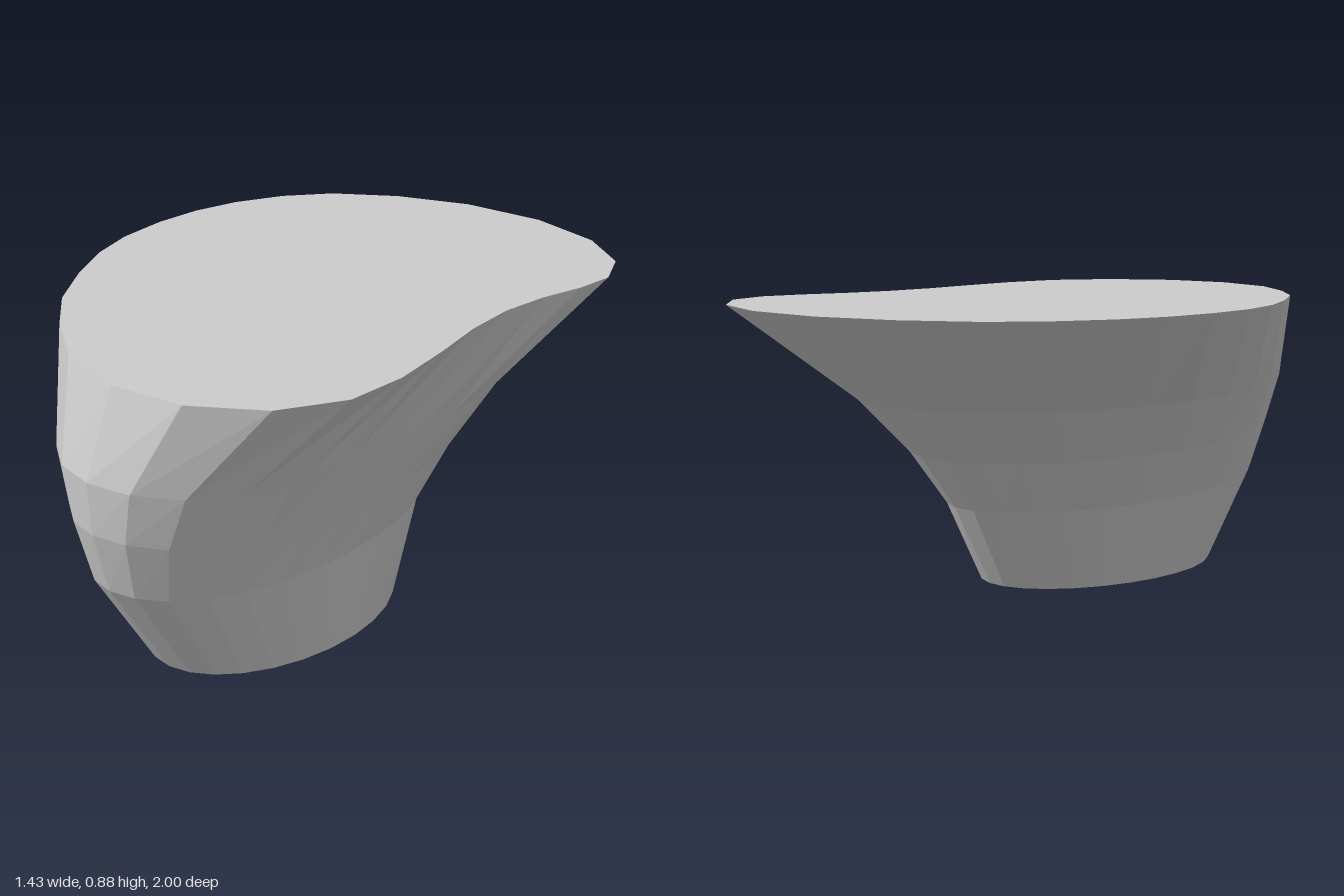
import * as THREE from 'three';

const HEIGHT = 0.882;

// Kidney-shaped rim as [x, z], from the front round by +x
const RIM = [
  [0.19, 0.93], [0.42, 0.915], [0.61, 0.8], [0.71, 0.62], [0.715, 0.42], [0.68, 0.2], [0.64, 0],
  [0.625, -0.18], [0.64, -0.34], [0.675, -0.49], [0.685, -0.62], [0.62, -0.77], [0.45, -0.91],
  [0.2, -0.995], [-0.08, -1], [-0.32, -0.93], [-0.51, -0.815], [-0.62, -0.68], [-0.69, -0.52],
  [-0.72, -0.36], [-0.72, -0.19], [-0.69, 0], [-0.63, 0.17], [-0.53, 0.35], [-0.4, 0.54],
  [-0.24, 0.7], [-0.05, 0.845],
];
const N = RIM.length;

// Elliptical foot with one point under each rim point
const FOOT = RIM.map((_, i) => {
  const a = (i / N) * Math.PI * 2;
  return [0.19 + 0.28 * Math.sin(a), 0.31 + 0.44 * Math.cos(a)];
});

// Cross-sections between foot and rim: blend, extents, height at back and front
const SECTIONS = [
  { blend: 0.08, x: [-0.165, 0.457], z: [-0.29, 0.94], y: [0.26, 0.3] },
  { blend: 0.17, x: [-0.26, 0.5], z: [-0.42, 0.99], y: [0.425, 0.48] },
  { blend: 0.28, x: [-0.39, 0.555], z: [-0.6, 1], y: [0.595, 0.63] },
];

// Stretch a list of values to run from lo to hi
function fit(values, [lo, hi]) {
  const min = Math.min(...values), max = Math.max(...values);
  return values.map((v) => lo + ((v - min) / (max - min)) * (hi - lo));
}

// Nearly level ring that lifts towards the front
function sectionRing({ blend, x, z, y }) {
  const mix = (axis) => RIM.map((p, i) => THREE.MathUtils.lerp(FOOT[i][axis], p[axis], blend));
  const xs = fit(mix(0), x), zs = fit(mix(1), z);
  const lift = fit(zs, [0, 1]).map((t) => THREE.MathUtils.lerp(y[0], y[1], t ** 4));
  return xs.map((v, i) => [v, lift[i], zs[i]]);
}

// Skin consecutive rings with quads
function loft(rings) {
  const index = [];
  for (let r = 0; r < rings.length - 1; r++) {
    for (let i = 0; i < N; i++) {
      const a = r * N + i, b = r * N + ((i + 1) % N);
      index.push(a, b, b + N, a, b + N, a + N);
    }
  }
  const geometry = new THREE.BufferGeometry();
  geometry.setAttribute('position', new THREE.Float32BufferAttribute(rings.flat(2), 3));
  geometry.setIndex(index);
  geometry.computeVertexNormals();
  return geometry;
}

export function createModel() {
  const group = new THREE.Group();
  group.name = 'kidneyPedestal';
  const material = new THREE.MeshStandardMaterial({
    color: 0xcccccc, flatShading: true, side: THREE.DoubleSide,
  });

  // Flaring side wall, open at the foot
  const body = new THREE.Mesh(loft([
    FOOT.map(([x, z]) => [x, 0, z]),
    ...SECTIONS.map(sectionRing),
    RIM.map(([x, z]) => [x, HEIGHT, z]),
  ]), material);
  body.name = 'body';

  // Flat top closing the rim
  const outline = new THREE.Shape(RIM.map(([x, z]) => new THREE.Vector2(x, -z)));
  const top = new THREE.Mesh(new THREE.ShapeGeometry(outline).rotateX(-Math.PI / 2), material);
  top.name = 'topSurface';
  top.position.y = HEIGHT;

  group.add(body, top);
  return group;
}
